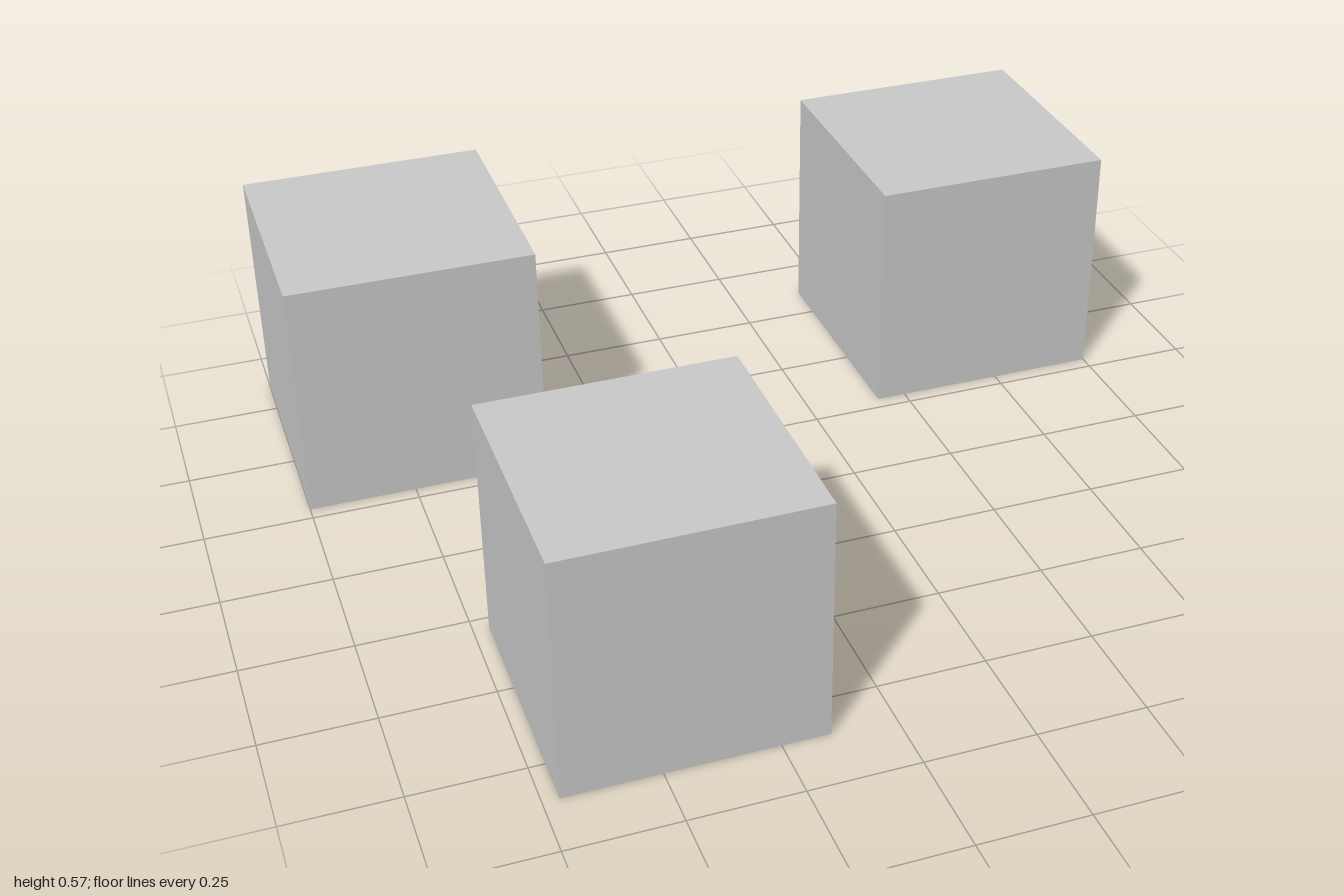
import * as THREE from 'three';

// Three equal cubes standing on the ground
export function createModel() {
  const model = new THREE.Group();
  model.name = 'cubes';

  const size = 4 / 7;
  const geometry = new THREE.BoxGeometry(size, size, size);
  const material = new THREE.MeshStandardMaterial({ color: 0xcccccc });

  // name, centre x, centre z
  const cubes = [
    ['backRightCube', -5 / 7, -4 / 7],
    ['backLeftCube', 5 / 7, -4 / 7],
    ['frontCube', -3 / 7, 4 / 7],
  ];

  for (const [name, x, z] of cubes) {
    const cube = new THREE.Mesh(geometry, material);
    cube.name = name;
    cube.position.set(x, size / 2, z);
    model.add(cube);
  }

  return model;
}
